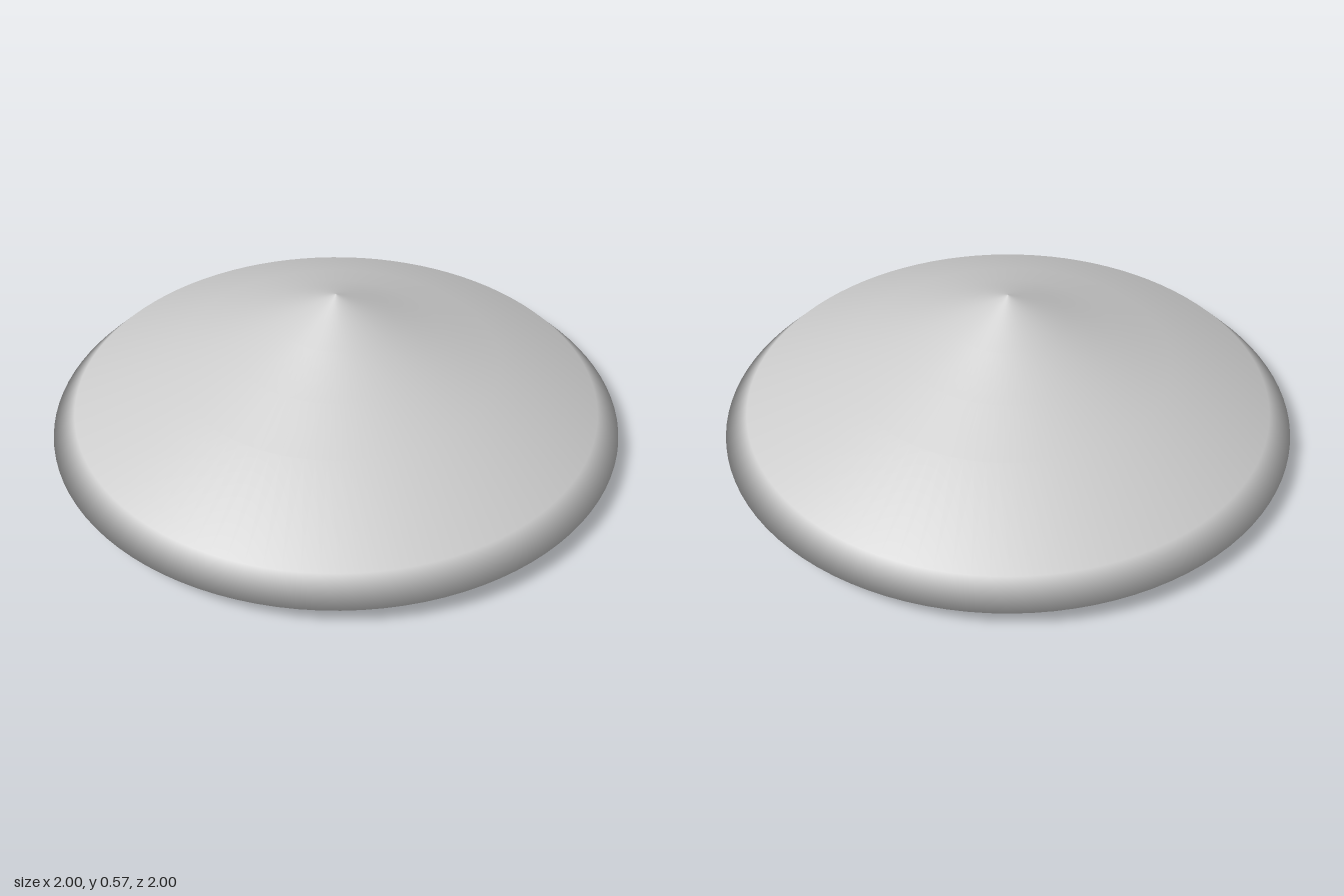
import * as THREE from 'three';

export function createModel() {
  const group = new THREE.Group();
  group.name = 'conicalDisc';
  const material = new THREE.MeshStandardMaterial({ color: 0xcccccc });

  // One closed profile, from the bottom centre out to the rim and up to the tip
  const rim = 0.073;
  const profile = [];
  // Shallow bowl underside
  for (const r of [0, 0.2, 0.4, 0.6, 0.8]) {
    profile.push(new THREE.Vector2(r, rim * r * r));
  }
  // Sharp rim, bevelled edge and gently stepped cone
  for (const [r, y] of [[1, rim], [0.92, 0.152], [0.57, 0.31], [0.375, 0.39], [0.2, 0.473], [0, 0.573]]) {
    profile.push(new THREE.Vector2(r, y));
  }

  const body = new THREE.Mesh(new THREE.LatheGeometry(profile, 96), material);
  body.name = 'discBody';
  group.add(body);
  return group;
}
